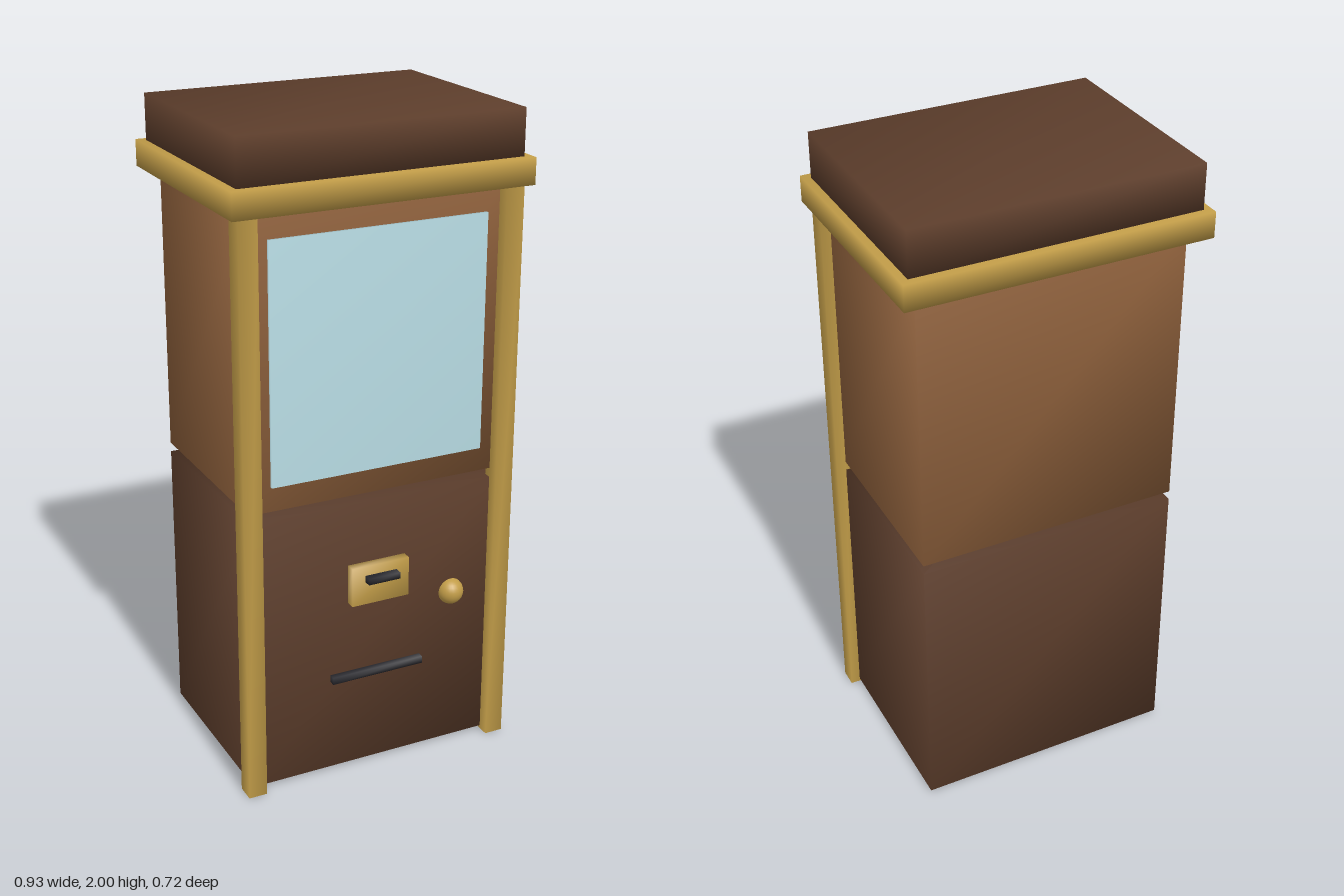
import * as THREE from 'three';
import { mergeVertices } from 'three/addons/utils/BufferGeometryUtils.js';

const material = (color) => new THREE.MeshStandardMaterial({ color });

// Box given by its limits, with normals shared across the corners
function softBox(name, mat, [x0, x1], [y0, y1], [z0, z1]) {
  let geometry = new THREE.BoxGeometry(x1 - x0, y1 - y0, z1 - z0);
  geometry.deleteAttribute('normal');
  geometry.deleteAttribute('uv');
  geometry = mergeVertices(geometry);
  geometry.computeVertexNormals();
  const mesh = new THREE.Mesh(geometry, mat);
  mesh.name = name;
  mesh.position.set((x0 + x1) / 2, (y0 + y1) / 2, (z0 + z1) / 2);
  return mesh;
}

export function createModel() {
  const group = new THREE.Group();
  group.name = 'cabinet';
  const darkWood = material(0x5c3d2b);
  const wood = material(0x8b5e3a);
  const brass = material(0xc19c48);
  const glass = material(0xb8dce4);
  const black = material(0x25252b);

  // Cabinet halves with a narrow gap between them
  group.add(softBox('lowerCabinet', darkWood, [-0.41, 0.41], [0.01, 0.882], [-0.305, 0.305]));
  group.add(softBox('upperCabinet', wood, [-0.41, 0.41], [0.911, 1.79], [-0.305, 0.305]));

  // Crown trim and cap
  group.add(softBox('crownTrim', brass, [-0.463, 0.463], [1.783, 1.862], [-0.36, 0.36]));
  group.add(softBox('roofCap', darkWood, [-0.439, 0.439], [1.855, 2], [-0.335, 0.335]));

  // Front corner posts
  for (const [name, x] of [['leftPost', 0.411], ['rightPost', -0.411]]) {
    group.add(softBox(name, brass, [x - 0.029, x + 0.029], [0, 1.785], [0.282, 0.341]));
  }

  // Window
  group.add(softBox('window', glass, [-0.34, 0.34], [0.987, 1.708], [0.295, 0.315]));

  // Coin plate with its slot, and the delivery slot below
  group.add(softBox('coinPlate', brass, [-0.094, 0.094], [0.563, 0.687], [0.3, 0.335]));
  group.add(softBox('coinSlot', black, [-0.052, 0.052], [0.637, 0.657], [0.32, 0.36]));
  group.add(softBox('deliverySlot', black, [-0.152, 0.152], [0.308, 0.331], [0.295, 0.325]));

  // Door knob
  const knob = new THREE.Mesh(new THREE.SphereGeometry(0.041, 24, 16), brass);
  knob.name = 'knob';
  knob.position.set(0.257, 0.525, 0.304);
  group.add(knob);

  return group;
}
